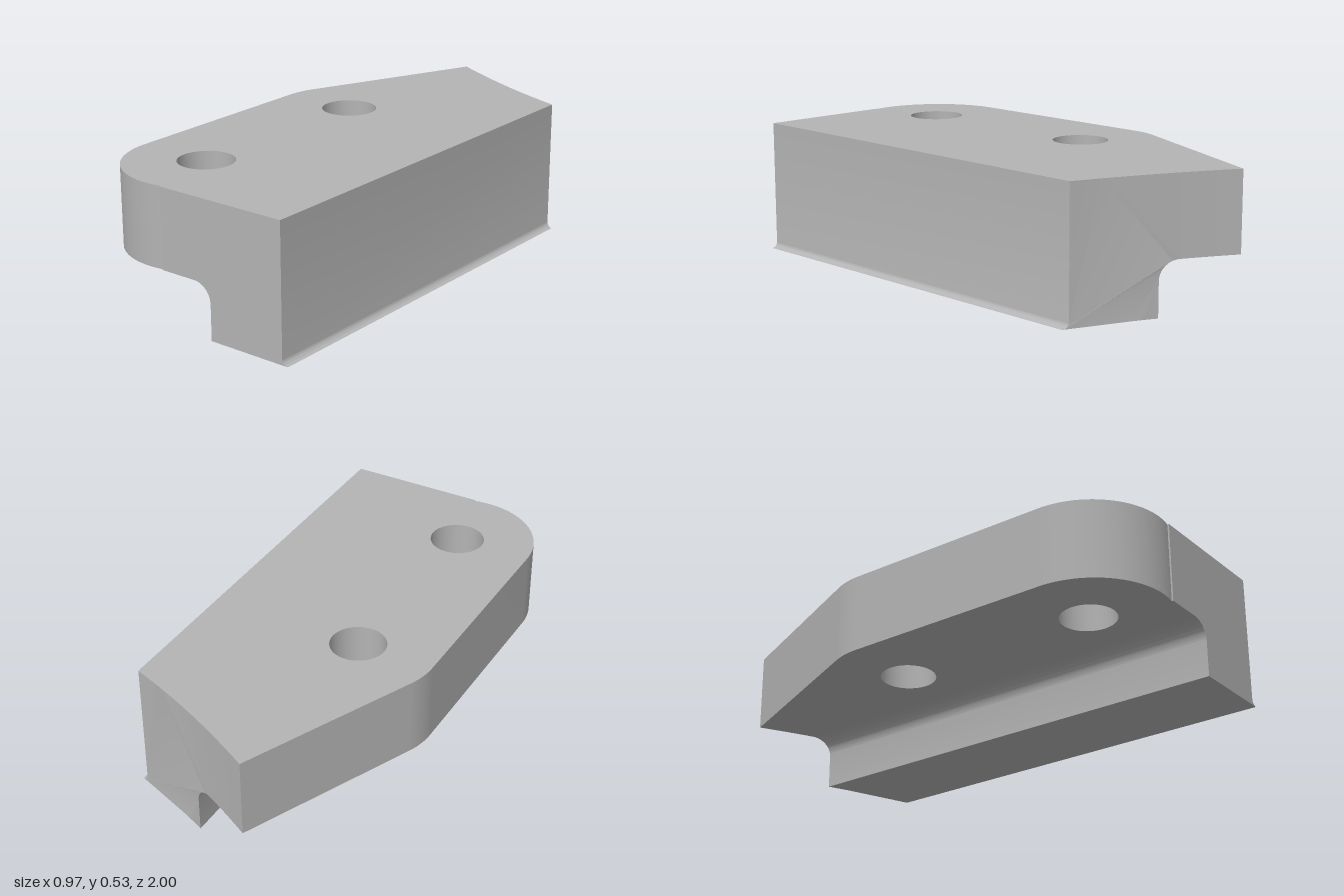
import * as THREE from 'three';
import { toCreasedNormals } from 'three/addons/utils/BufferGeometryUtils.js';

const TOP = 0.533, STEP = 0.215;   // top face and underside of the overhang
const SPLIT = 0.055;               // plane where flange and rail meet
const R = 0.32, CX = -0.165;       // rounded corners of the flange

// Concave back end: z as a function of x
const backZ = (x) => {
  const t = x + 0.155;
  return -1 + 0.508 * t - 0.18 * t * (t - 0.305);
};

// Straight run of points, keeping the end faces finely divided
function run(shape, x0, x1, n, yAt) {
  for (let i = 1; i <= n; i++) {
    const x = x0 + (x1 - x0) * i / n;
    shape.lineTo(x, yAt(x));
  }
}

// Remove the hidden wall on the joining plane, then smooth only the curves
function finish(geometry) {
  const p = geometry.attributes.position;
  const kept = [];
  for (let i = 0; i < p.count; i += 3) {
    const onWall = [0, 1, 2].every((k) => Math.abs(p.getX(i + k) - SPLIT) < 1e-5);
    if (onWall) continue;
    for (let k = 0; k < 3; k++) kept.push(p.getX(i + k), p.getY(i + k), p.getZ(i + k));
  }
  const open = new THREE.BufferGeometry();
  open.setAttribute('position', new THREE.Float32BufferAttribute(kept, 3));
  return toCreasedNormals(open, Math.PI / 7);
}

// Flange: plan outline (drawn with y = -z) with two bolt holes
function flangeGeometry() {
  const s = new THREE.Shape();
  s.moveTo(SPLIT, -1);
  s.lineTo(-0.1, -1);
  s.absarc(CX, -0.68, R, Math.atan2(-0.313, 0.065), -Math.PI, true);
  s.absarc(CX, 0.175, R, Math.PI, Math.atan2(0.401, -0.916), true);
  s.lineTo(-0.155, 1);
  run(s, -0.155, SPLIT, 6, (x) => -backZ(x));
  for (const y of [-0.68, 0.175]) {
    const hole = new THREE.Path();
    hole.absarc(-0.17, y, 0.11, 0, Math.PI * 2, false);
    s.holes.push(hole);
  }
  const g = new THREE.ExtrudeGeometry(s, { depth: TOP - STEP, bevelEnabled: false, curveSegments: 28 });
  g.rotateX(-Math.PI / 2);
  g.translate(0, STEP, 0);
  return finish(g);
}

// Rail: cross-section with inner fillet and outer lip, swept to the curved back
function railGeometry() {
  const s = new THREE.Shape();
  s.moveTo(SPLIT, TOP);
  s.lineTo(SPLIT, STEP);
  s.absarc(SPLIT, STEP - 0.075, 0.075, Math.PI / 2, 0, true);
  s.lineTo(0.13, 0);
  run(s, 0.13, 0.483, 8, () => 0);
  s.absarc(0.483, 0.025, 0.025, -Math.PI / 2, -Math.PI, true);
  s.lineTo(0.458, TOP);
  run(s, 0.458, SPLIT, 10, () => TOP);
  const g = new THREE.ExtrudeGeometry(s, { depth: 1, bevelEnabled: false, curveSegments: 12 });
  const p = g.attributes.position;
  for (let i = 0; i < p.count; i++) {
    p.setZ(i, p.getZ(i) > 0.5 ? 1 : backZ(p.getX(i)));
  }
  return finish(g);
}

export function createModel() {
  const group = new THREE.Group();
  group.name = 'clampBlock';
  const metal = new THREE.MeshStandardMaterial({ color: 0xb4b4b4 });
  metal.name = 'grey metal';
  const parts = { flange: flangeGeometry(), rail: railGeometry() };
  for (const [name, geometry] of Object.entries(parts)) {
    const mesh = new THREE.Mesh(geometry, metal);
    mesh.name = name;
    group.add(mesh);
  }
  return group;
}
